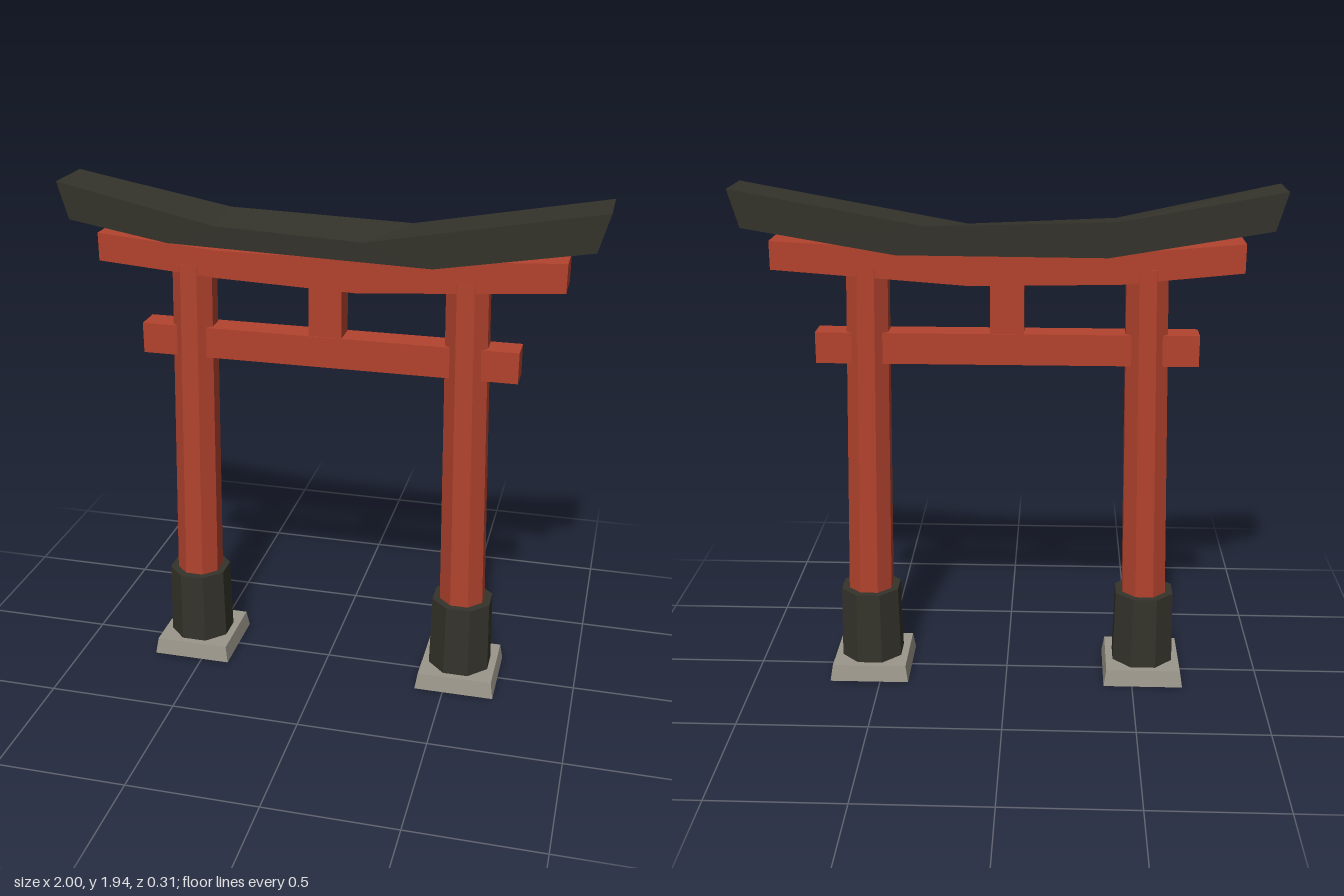
import * as THREE from 'three';

const red = new THREE.MeshStandardMaterial({ color: 0xb3432e });
red.name = 'vermilion paint';
const black = new THREE.MeshStandardMaterial({ color: 0x34332b });
black.name = 'charcoal paint';
const stone = new THREE.MeshStandardMaterial({ color: 0x9c978c });
stone.name = 'grey stone';
for (const m of [red, black, stone]) m.flatShading = true;

function add(group, name, geometry, material, x = 0, y = 0, z = 0) {
  const mesh = new THREE.Mesh(geometry, material);
  mesh.name = name;
  mesh.position.set(x, y, z);
  group.add(mesh);
  return mesh;
}

// Faceted beam along x. Each section lists [x, y] for its corners:
// front top, back top, back bottom, front bottom.
function beam(sections, halfTop, halfBottom) {
  const zs = [halfTop, -halfTop, -halfBottom, halfBottom];
  const positions = [];
  const index = [];
  sections.forEach((s) => s.forEach(([x, y], k) => positions.push(x, y, zs[k])));
  const last = (sections.length - 1) * 4;
  for (let i = 0; i < last; i += 4) {
    for (let k = 0; k < 4; k++) {
      const n = (k + 1) % 4;
      const a = i + k, b = i + 4 + k, c = i + 4 + n, d = i + n;
      index.push(a, b, c, a, c, d);
    }
  }
  index.push(0, 1, 2, 0, 2, 3);
  index.push(last, last + 2, last + 1, last, last + 3, last + 2);
  const g = new THREE.BufferGeometry();
  g.setAttribute('position', new THREE.Float32BufferAttribute(positions, 3));
  g.setIndex(index);
  const flat = g.toNonIndexed();
  flat.computeVertexNormals();
  return flat;
}

// Eight-sided column with a flat side to the front, leaning by moving its top in x
function column(rTop, rBottom, height, lean = 0) {
  const g = new THREE.CylinderGeometry(rTop, rBottom, height, 8, 1, false, Math.PI / 8);
  g.translate(0, height / 2, 0);
  const p = g.attributes.position;
  for (let i = 0; i < p.count; i++) p.setX(i, p.getX(i) + (lean * p.getY(i)) / height);
  return g;
}

// Square slab with a slightly smaller top
function plinth() {
  const g = new THREE.BoxGeometry(0.31, 0.065, 0.31);
  const p = g.attributes.position;
  for (let i = 0; i < p.count; i++) {
    if (p.getY(i) > 0) p.setXYZ(i, p.getX(i) * 0.935, p.getY(i), p.getZ(i) * 0.935);
  }
  g.computeVertexNormals();
  return g;
}

export function createModel() {
  const gate = new THREE.Group();
  gate.name = 'gate';

  // Upswept, roughly hewn roof beam
  add(gate, 'roofBeam', beam([
    [[-1, 1.94], [-1, 1.94], [-0.96, 1.8], [-0.96, 1.8]],
    [[-0.4, 1.81], [-0.4, 1.83], [-0.37, 1.7], [-0.58, 1.735]],
    [[0.15, 1.785], [0.29, 1.81], [0.4, 1.705], [0.4, 1.705]],
    [[1, 1.94], [1, 1.94], [0.96, 1.8], [0.96, 1.8]],
  ], 0.108, 0.106), black);

  // Curved lintel under the roof
  add(gate, 'upperLintel', beam([
    [[-0.865, 1.748], [-0.865, 1.748], [-0.865, 1.642], [-0.865, 1.642]],
    [[-0.4, 1.71], [-0.4, 1.71], [-0.42, 1.597], [-0.4, 1.606]],
    [[0.15, 1.71], [0.15, 1.71], [0.13, 1.587], [0.13, 1.587]],
    [[0.865, 1.748], [0.865, 1.748], [0.865, 1.642], [0.865, 1.642]],
  ], 0.075, 0.075), red);

  // Straight tie beam and the short strut above it
  add(gate, 'tieBeam', new THREE.BoxGeometry(1.43, 0.118, 0.106), red, 0, 1.343, 0);
  add(gate, 'centreStrut', new THREE.BoxGeometry(0.125, 0.26, 0.1), red, -0.002, 1.51, 0);

  // Legs: plinth, dark sleeve and leaning pillar
  for (const side of [-1, 1]) {
    const leg = new THREE.Group();
    leg.name = side > 0 ? 'leftLeg' : 'rightLeg';
    leg.position.x = side * 0.543;
    add(leg, 'plinth', plinth(), stone, 0, 0.0325, 0);
    add(leg, 'sleeve', column(0.121, 0.127, 0.295), black, 0, 0.06, 0);
    add(leg, 'pillar', column(0.083, 0.091, 1.35, -side * 0.028), red, 0, 0.3, 0);
    gate.add(leg);
  }
  return gate;
}
